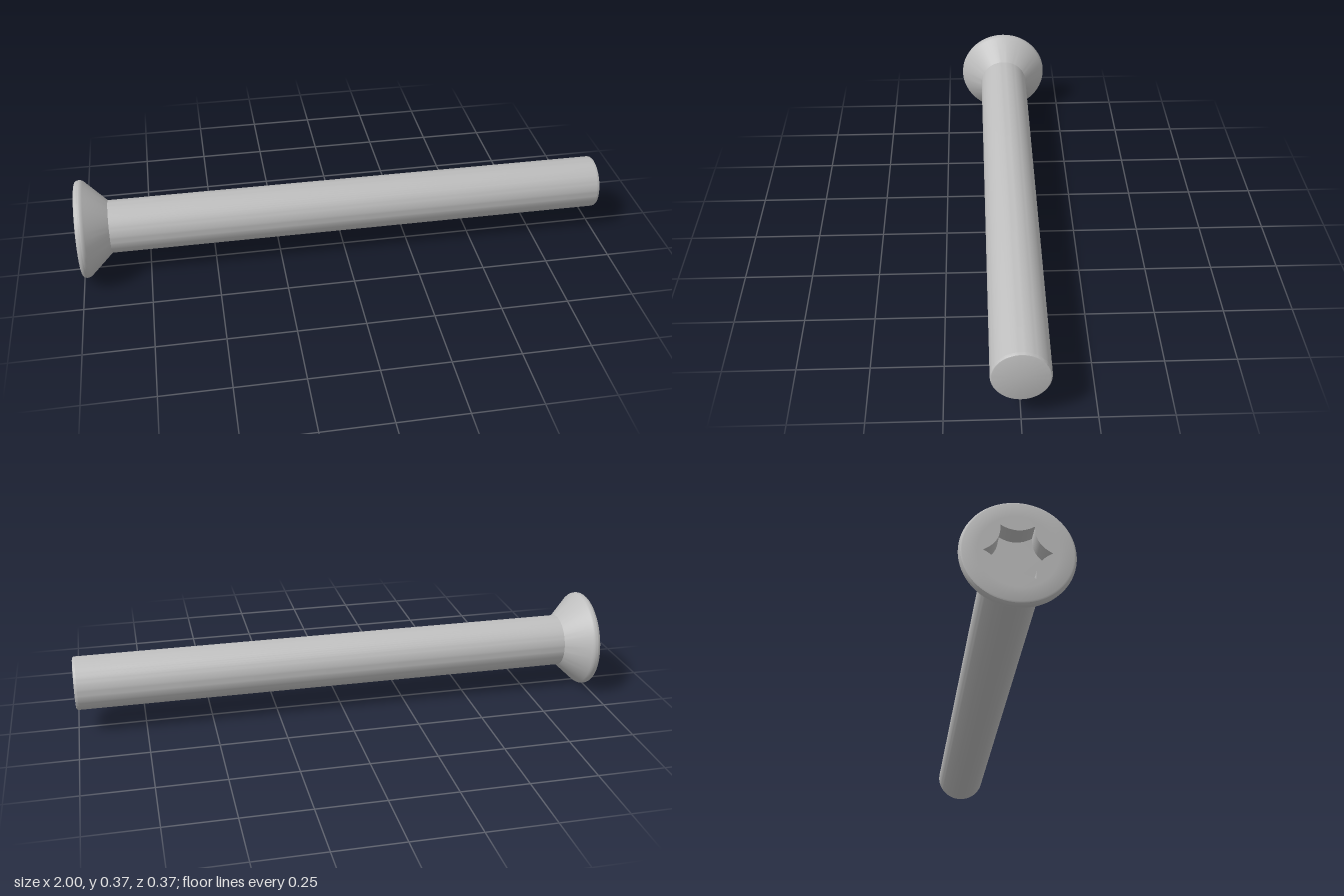
import * as THREE from 'three';
import { toCreasedNormals } from 'three/addons/utils/BufferGeometryUtils.js';

const AXIS_Y = 0.184, SOCKET_DEPTH = 0.07, PLUG_R = 0.125;

// Six-pointed socket outline with concave flanks between the tips
function starPath(target, tipR, midR) {
  for (let i = 0; i <= 6; i++) {
    const a = (i * Math.PI) / 3;
    const x = Math.cos(a) * tipR, y = Math.sin(a) * tipR;
    if (i === 0) target.moveTo(x, y);
    else {
      const m = a - Math.PI / 6;
      target.quadraticCurveTo(Math.cos(m) * midR, Math.sin(m) * midR, x, y);
    }
  }
  return target;
}

export function createModel() {
  const model = new THREE.Group();
  model.name = 'countersunkScrew';
  const steel = new THREE.MeshStandardMaterial({ color: 0xbebebe });
  steel.name = 'steel';

  // Turned part: profile of [radius, position along the screw]
  const addTurned = (name, profile) => {
    const points = profile.map(([r, x]) => new THREE.Vector2(r, x));
    const geometry = toCreasedNormals(new THREE.LatheGeometry(points, 72), 0.5);
    const mesh = new THREE.Mesh(geometry, steel);
    mesh.name = name;
    mesh.rotation.z = -Math.PI / 2;
    mesh.position.y = AXIS_Y;
    model.add(mesh);
  };

  // Countersunk head with a rounded rim
  addTurned('head', [
    [PLUG_R, -1], [0.172, -1], [0.177, -0.998], [0.181, -0.993], [0.183, -0.986],
    [0.183, -0.98], [0.181, -0.973], [0.177, -0.967], [0.099, -0.885],
  ]);

  // Plain shank with a small rounded end
  addTurned('shank', [
    [0.099, -0.885], [0.099, 0.99], [0.098, 0.995], [0.095, 0.999], [0.092, 1], [0, 1],
  ]);

  // Recessed drive socket in the head face
  const socket = new THREE.Group();
  socket.name = 'driveSocket';
  socket.rotation.y = -Math.PI / 2;
  socket.position.set(-1 + SOCKET_DEPTH, AXIS_Y, 0);
  model.add(socket);

  const disc = new THREE.Shape().absarc(0, 0, PLUG_R, 0, Math.PI * 2);
  disc.holes.push(starPath(new THREE.Path(), 0.108, 0.058));
  const walls = new THREE.Mesh(
    new THREE.ExtrudeGeometry(disc, { depth: SOCKET_DEPTH, bevelEnabled: false, curveSegments: 36 }),
    steel);
  walls.name = 'socketWalls';

  const floor = new THREE.Mesh(
    new THREE.ShapeGeometry(starPath(new THREE.Shape(), 0.108, 0.058), 36), steel);
  floor.name = 'socketFloor';
  floor.position.z = 0.001;
  socket.add(walls, floor);

  return model;
}
